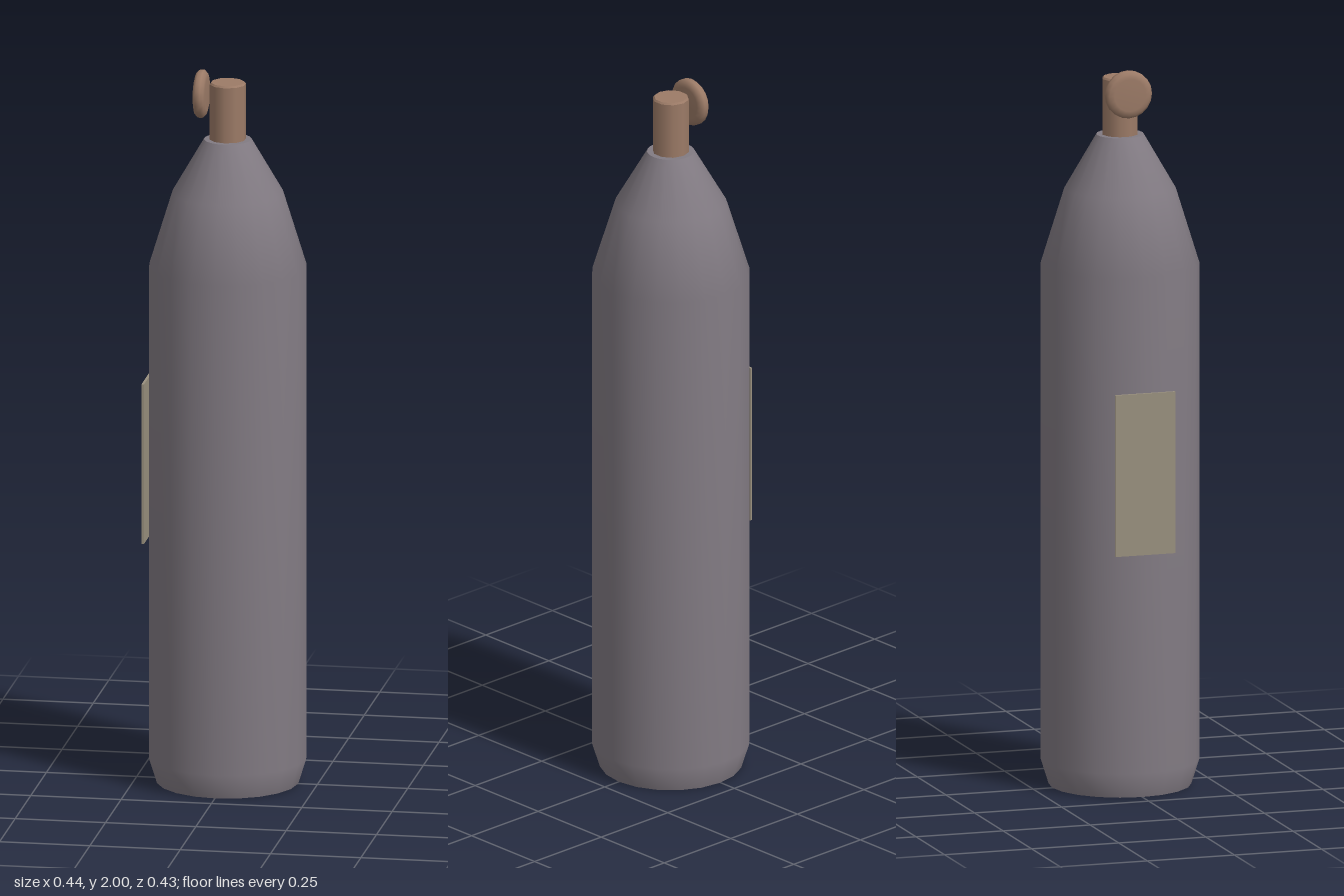
import * as THREE from 'three';

const mat = (name, color, extra = {}) => {
  const m = new THREE.MeshStandardMaterial({ color, ...extra });
  m.name = name;
  return m;
};

export function createModel() {
  const group = new THREE.Group();
  const steel = mat('grey steel', 0x827b83);
  const brass = mat('brass', 0x9c7b67);
  const paper = mat('label beige', 0x9a917f);
  const axisX = 0.002;

  const add = (name, geometry, material, x, y, z = 0) => {
    const mesh = new THREE.Mesh(geometry, material);
    mesh.name = name;
    mesh.position.set(x, y, z);
    group.add(mesh);
    return mesh;
  };
  const lathe = (points, sides) =>
    new THREE.LatheGeometry(points.map(([r, y]) => new THREE.Vector2(r, y)), sides);

  // Cylinder wall with chamfered foot and tapering shoulder
  add('tankBody', lathe([
    [0.195, 0], [0.217, 0.07], [0.217, 1.45], [0.152, 1.66], [0.065, 1.81],
  ], 20), steel, axisX, 0);

  // Flat ends, kept separate so their edges stay sharp
  add('tankBase', lathe([[0, 0], [0.195, 0]], 20), steel, axisX, 0);
  add('tankTop', lathe([[0.065, 0], [0, 0]], 20), steel, axisX, 1.81);

  // Valve stem with a slightly bevelled top
  add('valveStem', new THREE.CylinderGeometry(0.05, 0.05, 0.165, 10), brass, axisX, 1.8825);
  add('valveStemTop', new THREE.CylinderGeometry(0.046, 0.05, 0.005, 10), brass, axisX, 1.9675);

  // Rounded hand wheel, turned about the x axis
  const wheel = add('valveWheel', lathe([
    [0, -0.017], [0.045, -0.017], [0.058, -0.014], [0.066, -0.006],
    [0.066, 0.006], [0.058, 0.014], [0.045, 0.017], [0, 0.017],
  ], 20), brass, -0.071, 1.934);
  wheel.rotation.z = Math.PI / 2;

  // Label plate on the side
  add('labelPlate', new THREE.BoxGeometry(0.007, 0.45, 0.172), paper, -0.2185, 0.905);

  return group;
}
